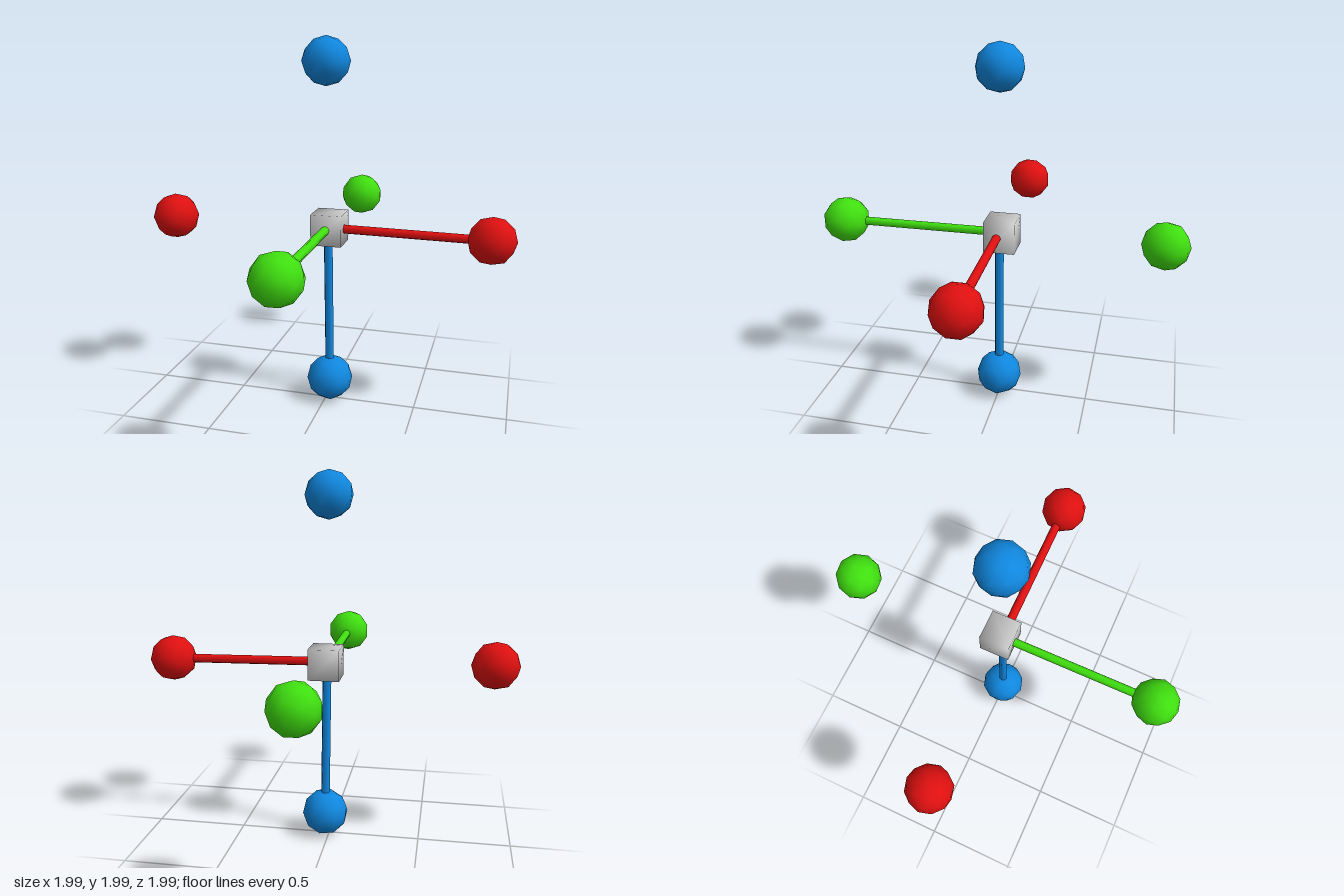
import * as THREE from 'three';
import { mergeVertices } from 'three/addons/utils/BufferGeometryUtils.js';

const material = (name, color) => {
  const m = new THREE.MeshStandardMaterial({ color });
  m.name = name;
  return m;
};

const BALL_RADIUS = 0.126;
const ROD_RADIUS = 0.024;

export function createModel() {
  const model = new THREE.Group();
  model.name = 'axisMarker';

  const red = material('red', 0xe01010);
  const green = material('green', 0x40e010);
  const blue = material('blue', 0x1088e0);
  const grey = material('light grey', 0xd2d2d2);

  const hub = new THREE.Vector3(0.015, 1.002, -0.015);

  const add = (name, geometry, mat, position) => {
    const mesh = new THREE.Mesh(geometry, mat);
    mesh.name = name;
    mesh.position.copy(position);
    model.add(mesh);
    return mesh;
  };

  // Central cube with corner normals shared between its faces
  const cube = new THREE.BoxGeometry(0.167, 0.167, 0.167);
  cube.deleteAttribute('uv');
  cube.deleteAttribute('normal');
  const softCube = mergeVertices(cube);
  softCube.computeVertexNormals();
  add('centreCube', softCube, grey, hub);

  // Low-poly ball turned so one corner points straight up
  const ball = new THREE.IcosahedronGeometry(BALL_RADIUS, 1);
  ball.rotateZ(Math.atan(2 / (1 + Math.sqrt(5))));

  // Each axis: a ball on a rod, and a loose ball opposite
  const V = (x, y, z) => new THREE.Vector3(x, y, z);
  const axes = [
    { name: 'red', mat: red, near: V(0.87, 0.992, -0.008), far: V(-0.872, 1.014, 0.005),
      basis: [V(0, 0, 1), V(1, 0, 0), V(0, 1, 0)] },
    { name: 'green', mat: green, near: V(0.018, 1.004, 0.87), far: V(0.003, 1.004, -0.87),
      basis: [V(1, 0, 0), V(0, 0, 1), V(0, -1, 0)] },
    { name: 'blue', mat: blue, near: V(0.022, 0.135, 0), far: V(0, 1.874, 0),
      basis: [V(1, 0, 0), V(0, 1, 0), V(0, 0, 1)] },
  ];

  for (const { name, mat, near, far, basis } of axes) {
    const turn = new THREE.Matrix4().makeBasis(...basis);
    add(name + 'RodBall', ball, mat, near).setRotationFromMatrix(turn);
    add(name + 'LooseBall', ball, mat, far).setRotationFromMatrix(turn);

    // Rod along the straight line through both balls, from the hub outwards
    const start = near.clone().lerp(far, 0.5);
    const along = near.clone().sub(start);
    const rod = new THREE.CylinderGeometry(ROD_RADIUS, ROD_RADIUS, along.length(), 8);
    add(name + 'Rod', rod, mat, start.add(near).multiplyScalar(0.5))
      .quaternion.setFromUnitVectors(V(0, 1, 0), along.normalize());
  }

  return model;
}
